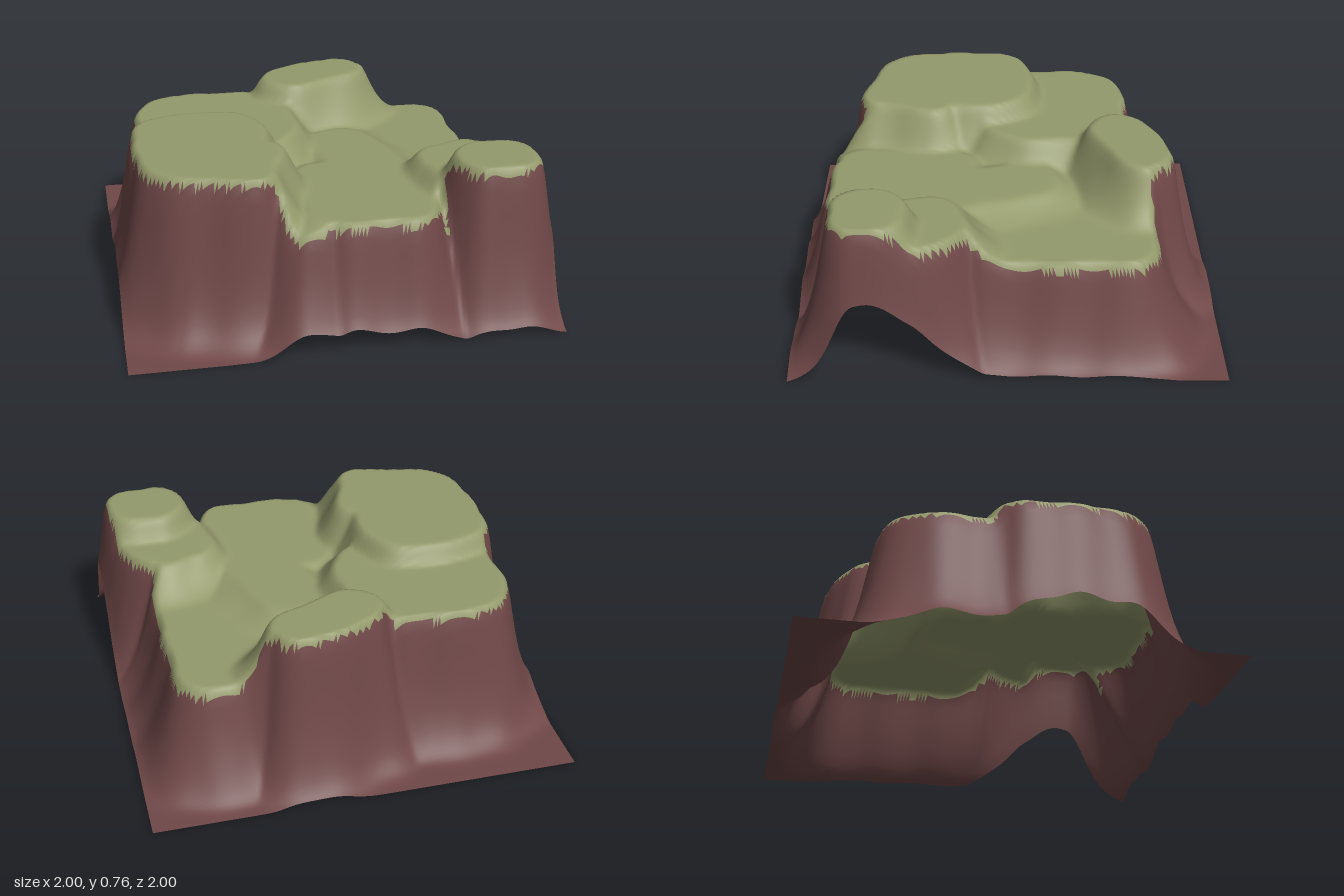
import * as THREE from 'three';

const SEG = 120; // grid cells per side of the 2 x 2 tile
const FLOOR = 0.5; // height of the lowest plateau, shared base of all
const BASE_FLARE = 0.28; // distance over which the base runs out to the ground
const RISE_FLARE = 0.17; // distance over which a raised plateau runs out to the floor

// A flat plateau: top height, centre, half sizes, corner radius and turn about y
const plateau = (top, x, z, halfX, halfZ, radius, turn = 0) => ({ top, x, z, halfX, halfZ, radius, turn });

const PLATEAUS = [
  plateau(FLOOR, -0.05, 0.05, 0.6, 0.6, 0.2), // floor between the others
  plateau(FLOOR, 0.5, -0.24, 0.29, 0.45, 0.12), // right shelf
  plateau(FLOOR, -0.15, 0.6, 0.12, 0.25, 0.1), // mouth of the front gully
  plateau(0.757, -0.57, 0.26, 0.32, 0.4, 0.25), // high left
  plateau(0.757, -0.47, 0.46, 0.23, 0.25, 0.1, -0.26), // front corner of the high left
  plateau(0.67, -0.45, -0.24, 0.39, 0.37, 0.25), // back left shelf
  plateau(0.755, 0.1, -0.6, 0.29, 0.145, 0.14, 0.35), // back oval
  plateau(0.57, 0.16, 0.5, 0.3, 0.35, 0.17), // front centre
  plateau(0.57, 0.19, 0.05, 0.17, 0.3, 0.15, 0.3), // centre, reaching back
  plateau(0.65, 0.695, 0.485, 0.22, 0.31, 0.2, 0.25), // front right shelf
  plateau(0.757, 0.74, 0.63, 0.19, 0.18, 0.15), // front right peak
];

// Signed distance to a plateau rim, negative inside
function rimDistance(px, pz, { x, z, halfX, halfZ, radius, turn }) {
  const c = Math.cos(turn), s = Math.sin(turn), dx = px - x, dz = pz - z;
  const qx = Math.abs(c * dx - s * dz) - halfX + radius;
  const qz = Math.abs(s * dx + c * dz) - halfZ + radius;
  return Math.hypot(Math.max(qx, 0), Math.max(qz, 0)) + Math.min(Math.max(qx, qz), 0) - radius;
}

// Uneven rims and fluted cliff faces
const flute = (x, z) =>
  0.004 * Math.sin(11 * x - 3 * z + 2) + 0.005 * Math.sin(23 * x + 4 * z) + 0.006 * Math.sin(21 * z - 5 * x + 1);

// Concave slope: 1 on the plateau, 0 from the given width outwards
const slope = (d, width, power) => Math.max(0, 1 - d / width) ** power;

// Terrain height: the flared base plus the tallest raised plateau on it
function heightAt(x, z) {
  let base = 0, rise = 0;
  for (const p of PLATEAUS) {
    const d = Math.max(0, rimDistance(x, z, p) + flute(x, z));
    base = Math.max(base, FLOOR * slope(d, BASE_FLARE, 2.1));
    rise = Math.max(rise, (p.top - FLOOR) * slope(d, RISE_FLARE, 1.6));
  }
  return base + rise * Math.min(1, base / FLOOR + 0.3);
}

// Small binomial blur that rounds the cliff shoulders
function soften(heights) {
  const n = SEG + 1, at = (i) => THREE.MathUtils.clamp(i, 0, SEG);
  return heights.map((_, k) => {
    const row = Math.floor(k / n), col = k % n;
    let sum = 0;
    for (let dr = -1; dr <= 1; dr++) {
      for (let dc = -1; dc <= 1; dc++) {
        sum += heights[at(row + dr) * n + at(col + dc)] * (2 - Math.abs(dr)) * (2 - Math.abs(dc));
      }
    }
    return sum / 16;
  });
}

export function createModel() {
  const group = new THREE.Group();
  group.name = 'mesaTerrain';

  // Height field over a square grid
  const ground = new THREE.PlaneGeometry(2, 2, SEG, SEG).rotateX(-Math.PI / 2);
  const pos = ground.attributes.position;
  const heights = Array.from({ length: pos.count }, (_, i) => heightAt(pos.getX(i), pos.getZ(i)));
  soften(heights).forEach((y, i) => pos.setY(i, y));
  ground.computeVertexNormals();

  // Gentle, high triangles are grass; steep or low ones are rock
  const grass = [], rock = [];
  const index = ground.index.array, normal = ground.attributes.normal;
  for (let i = 0; i < index.length; i += 3) {
    const corners = [index[i], index[i + 1], index[i + 2]];
    const y = corners.reduce((sum, v) => sum + pos.getY(v), 0) / 3;
    const up = corners.reduce((sum, v) => sum + normal.getY(v), 0) / 3;
    (y > 0.43 && up > 0.38 ? grass : rock).push(...corners);
  }

  const addSurface = (name, indices, color) => {
    const geometry = ground.clone();
    geometry.setIndex(indices);
    const mesh = new THREE.Mesh(geometry, new THREE.MeshStandardMaterial({ color, side: THREE.DoubleSide }));
    mesh.name = name;
    group.add(mesh);
  };
  addSurface('grassTops', grass, 0x949a6c);
  addSurface('rockCliffs', rock, 0x704848);
  return group;
}
